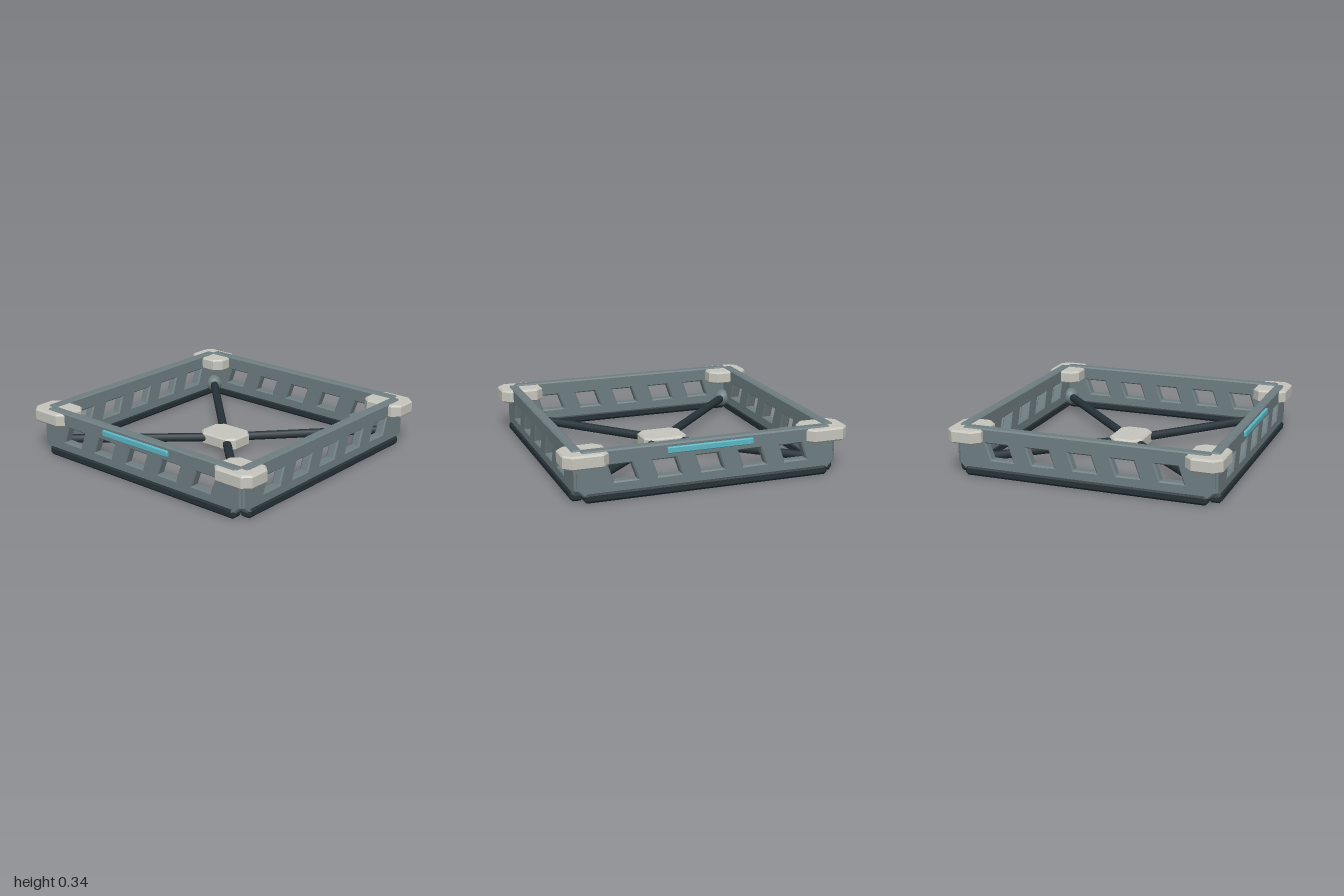
import * as THREE from 'three';

const paint = (color) => new THREE.MeshStandardMaterial({ color });

// Rectangle with cut corners
function cutRect(w, h, c) {
  const x = w / 2, y = h / 2;
  return new THREE.Shape([
    [-x + c, -y], [x - c, -y], [x, -y + c], [x, y - c],
    [x - c, y], [-x + c, y], [-x, y - c], [-x, -y + c],
  ].map(([a, b]) => new THREE.Vector2(a, b)));
}

// Centred slab with bevelled rims, `depth` being the full thickness
function slab(shape, depth, bevel) {
  const g = new THREE.ExtrudeGeometry(shape, {
    depth: depth - 2 * bevel, bevelThickness: bevel, bevelSize: bevel,
    bevelOffset: -bevel, bevelSegments: 1,
  });
  return g.translate(0, 0, bevel - depth / 2);
}

export function createModel() {
  const model = new THREE.Group();
  model.name = 'squareFrame';
  const wallMat = paint(0x6f7e82), darkMat = paint(0x263238);
  const paleMat = paint(0xc6c6be), cyanMat = paint(0x5cb8c6);

  const add = (name, geometry, material, x, y, z, parent = model) => {
    const mesh = new THREE.Mesh(geometry, material);
    mesh.name = name;
    mesh.position.set(x, y, z);
    parent.add(mesh);
    return mesh;
  };

  // Wall panel with five slanted windows
  const wallShape = cutRect(1.81, 0.305, 0.045);
  const wallMid = 0.1925;
  for (let i = -2; i <= 2; i++) {
    const x = i * 0.3, lo = 0.128 - wallMid, hi = 0.24 - wallMid;
    wallShape.holes.push(new THREE.Path([
      new THREE.Vector2(x - 0.1, lo), new THREE.Vector2(x - 0.06, hi),
      new THREE.Vector2(x + 0.1, hi), new THREE.Vector2(x + 0.06, lo),
    ]));
  }
  const wallGeo = slab(wallShape, 0.07, 0.01);
  const railGeo = slab(cutRect(1.72, 0.07, 0.016), 0.09, 0.018);
  const stripGeo = slab(cutRect(0.605, 0.042, 0.006), 0.03, 0.005);

  // Four sides: walls on rails, light strips on front and back
  const sides = [['front', 0, 1], ['back', 0, -1], ['left', Math.PI / 2, 1], ['right', Math.PI / 2, -1]];
  for (const [name, turn, s] of sides) {
    const side = new THREE.Group();
    side.name = name + 'Side';
    side.rotation.y = turn;
    add('wall', wallGeo, wallMat, 0, wallMid, s * 0.888, side);
    add('bottomRail', railGeo, darkMat, 0, 0.035, s * 0.89, side);
    if (turn === 0) add('lightStrip', stripGeo, cyanMat, 0, 0.3, s * 0.926, side);
    model.add(side);
  }

  // Corner caps, ball joints and diagonal struts
  const capGeo = slab(cutRect(0.312, 0.25, 0.052), 0.094, 0.012).rotateX(-Math.PI / 2);
  const ballGeo = new THREE.SphereGeometry(0.065, 20, 14);
  const hubPoint = new THREE.Vector3(0, 0.072, 0);
  for (const sx of [-1, 1]) {
    for (const sz of [-1, 1]) {
      add('cornerCap', capGeo, paleMat, sx * 0.844, 0.288, sz * 0.842);
      const joint = new THREE.Vector3(sx * 0.835, 0.095, sz * 0.835);
      add('ballJoint', ballGeo, wallMat, joint.x, joint.y, joint.z);
      const along = joint.clone().sub(hubPoint);
      const strut = add('strut', new THREE.CylinderGeometry(0.031, 0.031, along.length(), 12), darkMat, 0, 0, 0);
      strut.position.addVectors(hubPoint, joint).multiplyScalar(0.5);
      strut.quaternion.setFromUnitVectors(new THREE.Vector3(0, 1, 0), along.normalize());
    }
  }

  // Centre hub
  const hubGeo = slab(cutRect(0.324, 0.25, 0.052), 0.09, 0.012).rotateX(-Math.PI / 2);
  add('centreHub', hubGeo, paleMat, 0, 0.072, 0);

  return model;
}
